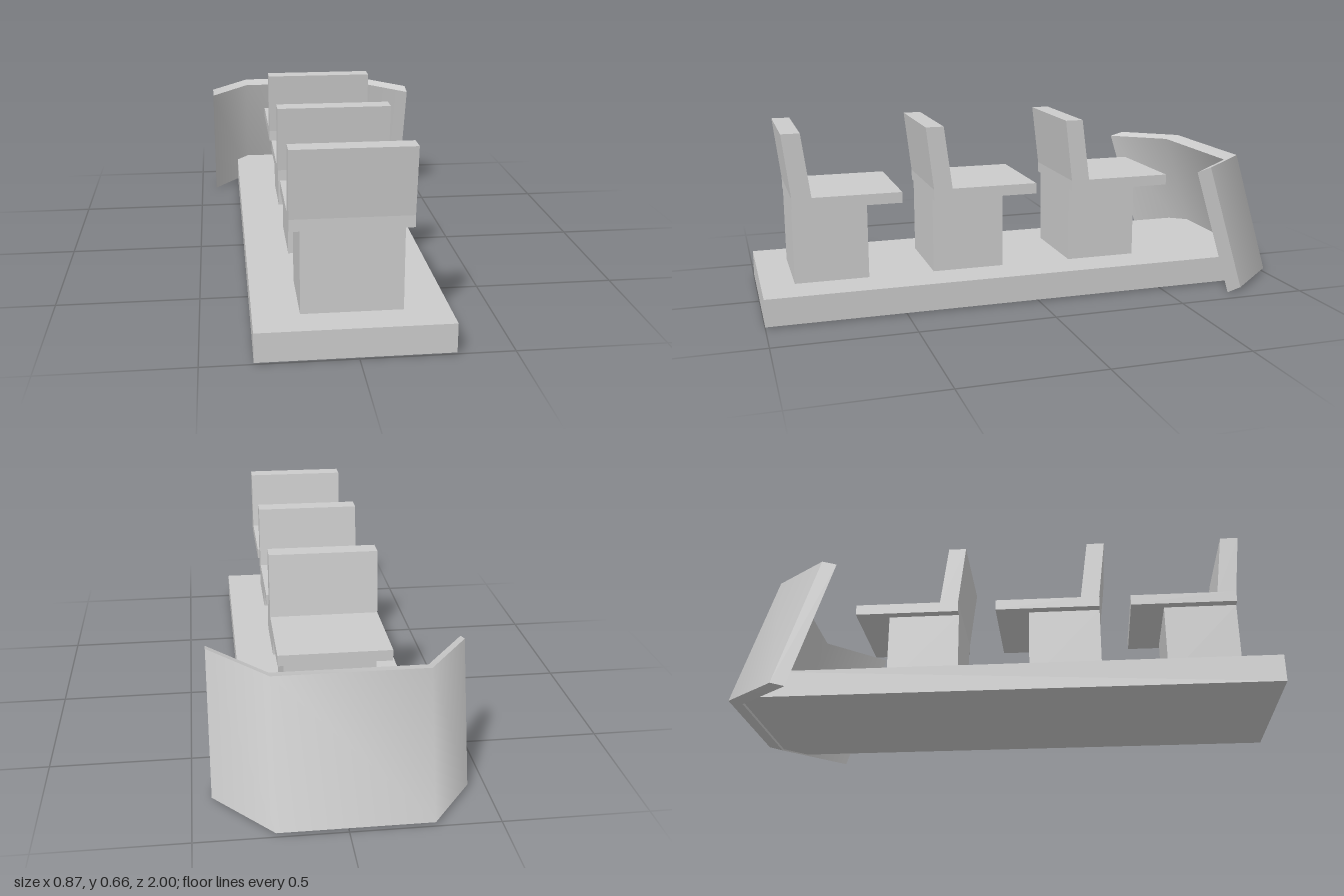
import * as THREE from 'three';
import { mergeGeometries } from 'three/addons/utils/BufferGeometryUtils.js';

const material = new THREE.MeshStandardMaterial({ color: 0xcccccc });

function mesh(name, geometry) {
  const m = new THREE.Mesh(geometry, material);
  m.name = name;
  return m;
}

function extrude(points, depth) {
  const shape = new THREE.Shape(points.map(([x, y]) => new THREE.Vector2(x, y)));
  return new THREE.ExtrudeGeometry(shape, { depth, bevelEnabled: false });
}

// Smooth strip of quads between two rows of points
function strip(a, b) {
  const n = a.length, index = [];
  for (let i = 0; i < n - 1; i++) index.push(i, i + 1, n + i, i + 1, n + i + 1, n + i);
  const g = new THREE.BufferGeometry();
  g.setAttribute('position', new THREE.Float32BufferAttribute([...a, ...b].flat(), 3));
  g.setIndex(index);
  g.computeVertexNormals();
  return g;
}

// Leaning three-panel shield: outer and inner walls, rims and end caps
function shieldGeometry() {
  const plan = [[-0.435, -0.65], [-0.28, -0.85], [0.235, -0.85], [0.433, -0.63]];
  const row = (y, dz) => plan.map(([x, z]) => [x, y, z + dz]);
  const outTop = row(0.495, 0), outLow = row(0.015, -0.15);
  const inTop = row(0.48, 0.055), inLow = row(0, -0.095);
  return mergeGeometries([
    strip(outTop, outLow),
    strip(inLow, inTop),
    strip(inTop, outTop),
    strip(outLow, inLow),
    strip([outLow[3], outTop[3]], [inLow[3], inTop[3]]),
    strip([inLow[0], inTop[0]], [outLow[0], outTop[0]]),
  ]);
}

// Seat pan and reclined backrest in one side profile, on a box pedestal
function createSeat() {
  const seat = new THREE.Group();
  seat.name = 'seat';
  const profile = [[-0.88, 0.385], [-0.485, 0.385], [-0.485, 0.425], [-0.81, 0.425],
    [-0.84, 0.657], [-0.907, 0.657], [-0.88, 0.425]];
  const chair = mesh('seatAndBackrest', extrude(profile, 0.4).rotateY(Math.PI / 2));
  chair.position.x = -0.21;
  const pedestal = mesh('pedestal', new THREE.BoxGeometry(0.335, 0.285, 0.27));
  pedestal.position.set(-0.0085, 0.2425, 0.745);
  seat.add(chair, pedestal);
  return seat;
}

export function createModel() {
  const model = new THREE.Group();
  model.name = 'seatedSled';

  // Deck, with its rear corners clipped to fit inside the shield
  const deck = mesh('deck', extrude([[-0.33, -1], [0.31, -1], [0.31, 0.86],
    [0.235, 0.94], [-0.28, 0.94], [-0.33, 0.88]], 0.1).rotateX(-Math.PI / 2));
  deck.position.y = 0.005;
  model.add(deck);

  model.add(mesh('shield', shieldGeometry()));

  // Three seats in a row
  for (const z of [0, -0.513, -1.052]) {
    const seat = createSeat();
    seat.position.z = z;
    model.add(seat);
  }
  return model;
}
